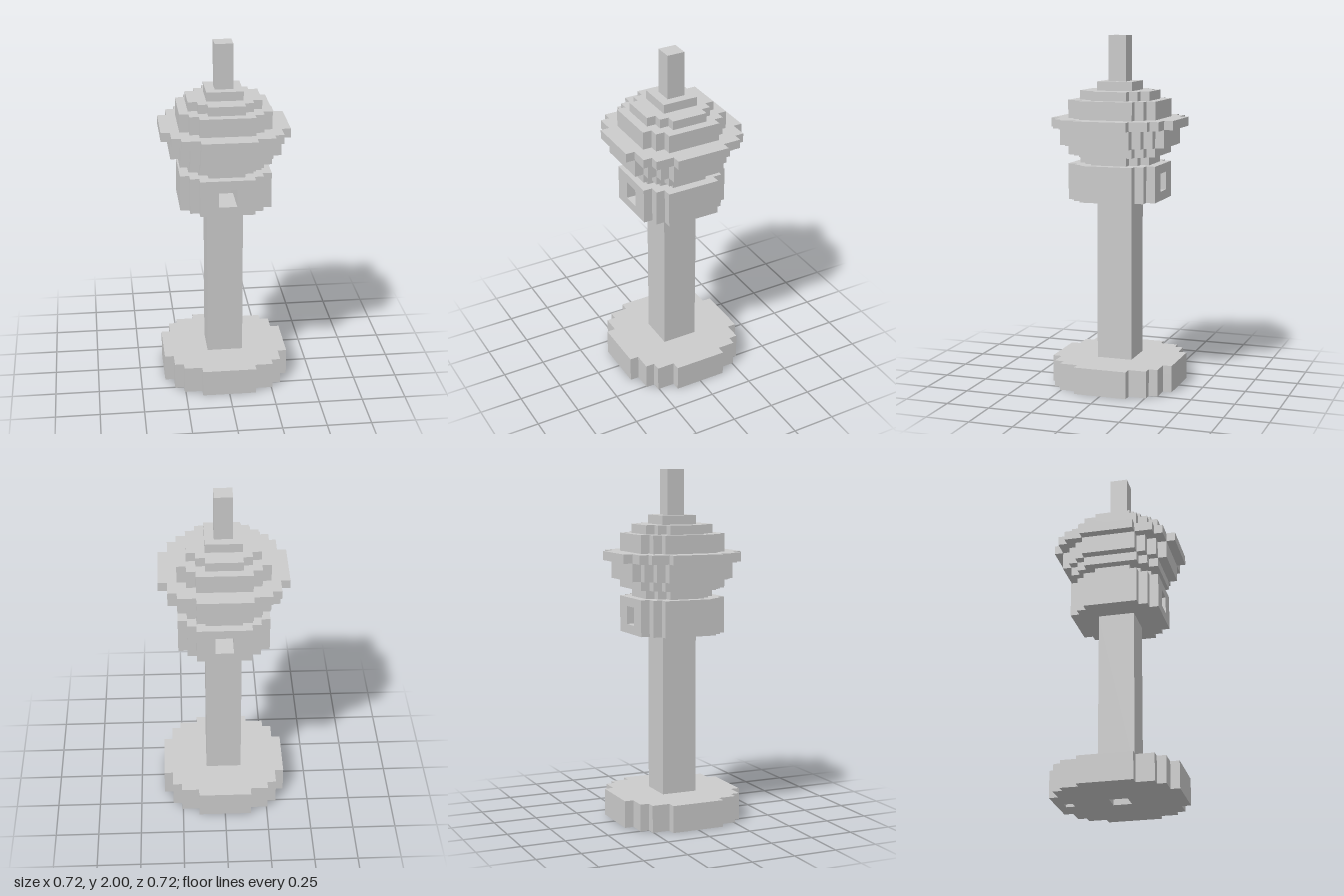
import * as THREE from 'three';

const U = 2 / 39; // one block; all sizes below are in blocks

const material = new THREE.MeshStandardMaterial({ color: 0xcccccc, flatShading: true });

// Stepped disc outlines: [half width in x, half depth in z], from the sides to the ends
const disc14 = [[7, 3], [6, 5], [5, 6], [3, 7]];
const disc12 = [[6, 3], [5, 4], [4, 5], [3, 6]];
const disc10 = [[5, 3], [4, 4], [3, 5]];
const disc8 = [[4, 2], [3, 3], [2, 4]];
const square = (half) => [[half, half]];

const toPoints = (list) => list.map(([x, y]) => new THREE.Vector2(x * U, y * U));

// Staircase along the +x side, from the back round to the front
function sideSteps(disc) {
  const quarter = [];
  disc.forEach(([x, z], i) => {
    if (i > 0) quarter.push([x, disc[i - 1][1]]);
    quarter.push([x, z]);
  });
  const lower = quarter.map(([x, z]) => [x, -z]).reverse();
  return [...lower, ...quarter];
}

function outline(disc) {
  const right = sideSteps(disc);
  return [...right, ...right.map(([x, z]) => [-x, -z])];
}

// Rectangular hole centred at (0, y)
const hole = (half, y = 0) => [[-half, y - half], [-half, y + half], [half, y + half], [half, y - half]];

export function createModel() {
  const model = new THREE.Group();

  // Upright layer with a plan shape, from block row y0 to y1
  function layer(name, points, y0, y1, holes = []) {
    const shape = new THREE.Shape(toPoints(points));
    holes.forEach((h) => shape.holes.push(new THREE.Path(toPoints(h))));
    const geometry = new THREE.ExtrudeGeometry(shape, { depth: (y1 - y0) * U, bevelEnabled: false });
    geometry.rotateX(-Math.PI / 2);
    const mesh = new THREE.Mesh(geometry, material);
    mesh.name = name;
    mesh.position.y = y0 * U;
    model.add(mesh);
  }

  // Foot with a central shaft and a small socket near the back edge
  layer('baseLower', outline(disc14), 0, 2, [hole(1), hole(0.5, 5.6)]);
  layer('baseUpper', outline(disc14), 2, 3, [hole(1)]);

  // Hollow column
  layer('column', outline(square(2)), 3, 21, [hole(1)]);

  // Lower cabin with a window running from front to back
  layer('cabinFloor', outline(disc10), 21, 22, [hole(1)]);
  const half = [[1, -5], ...sideSteps(disc10), [1, 5]];
  layer('cabinLeftWall', half, 22, 24);
  layer('cabinRightWall', half.map(([x, z]) => [-x, -z]), 22, 24);
  layer('cabinRoof', outline(disc10), 24, 25);

  // Stacked discs of the head, then the mast
  const head = [
    ['neck', disc8, 25, 26],
    ['headUnderside', disc10, 26, 27],
    ['headBody', disc12, 27, 29],
    ['headRim', disc14, 29, 30],
    ['upperRoom', disc10, 30, 32],
    ['roof', disc8, 32, 33],
    ['mastFoot', square(2), 33, 34],
    ['mast', square(1), 34, 39],
  ];
  head.forEach(([name, disc, y0, y1]) => layer(name, outline(disc), y0, y1));

  return model;
}
